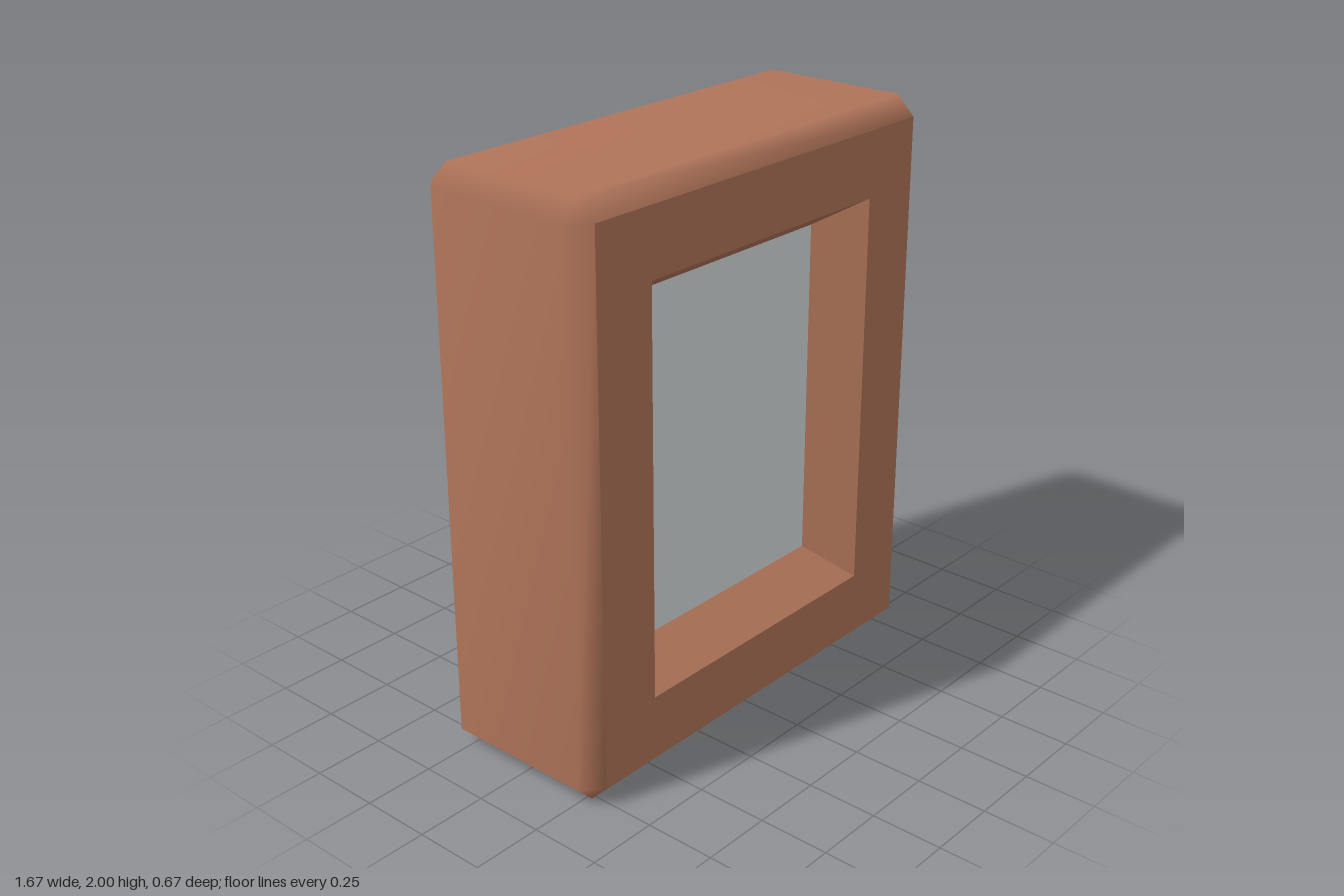
import * as THREE from 'three';
import { mergeVertices } from 'three/addons/utils/BufferGeometryUtils.js';

const X = 0.833, Y = 1, Z = 0.333, C = 0.066; // half sizes and bevel width
const HOLE = [0.535, 0.705], PANE = [0.44, 0.603], PANE_Z = 0.167;

// Corners of a centred rectangle, anticlockwise seen from the front
const rect = (w, h, z) => [[w, h, z], [-w, h, z], [-w, -h, z], [w, -h, z]];

// Skin joining a list of equal closed rings
function skin(rings) {
  const pos = [];
  for (let r = 0; r < rings.length - 1; r++) {
    const a = rings[r], b = rings[r + 1], n = a.length;
    for (let i = 0; i < n; i++) {
      const j = (i + 1) % n;
      pos.push(...a[i], ...b[i], ...b[j], ...a[i], ...b[j], ...a[j]);
    }
  }
  const geo = new THREE.BufferGeometry();
  geo.setAttribute('position', new THREE.Float32BufferAttribute(pos, 3));
  return geo;
}

export function createModel() {
  const clay = new THREE.MeshStandardMaterial({ color: 0xb07459 });
  clay.name = 'terracotta';
  const glass = new THREE.MeshStandardMaterial({ color: 0xd6dcdc });
  glass.name = 'pale grey';

  const group = new THREE.Group();
  group.name = 'framedBox';
  const add = (name, geo, mat, z = 0) => {
    const mesh = new THREE.Mesh(geo, mat);
    mesh.name = name;
    mesh.position.set(0, Y, z);
    group.add(mesh);
    return mesh;
  };

  // Bevelled sides: rectangle, octagon, octagon, rectangle, softly shaded
  const x = X - C, y = Y - C;
  const octagon = z => [[X, y, z], [x, Y, z], [-x, Y, z], [-X, y, z],
    [-X, -y, z], [-x, -Y, z], [x, -Y, z], [X, -y, z]];
  const end = z => rect(x, y, z).flatMap(p => [p, p]);
  const sides = mergeVertices(skin([end(-Z), octagon(C - Z), octagon(Z - C), end(Z)].reverse()));
  sides.computeVertexNormals();
  add('bevelledSides', sides, clay);

  // Flat front face with the window opening
  const toPath = pts => pts.map(p => new THREE.Vector2(p[0], p[1]));
  const face = new THREE.Shape(toPath(rect(x, y, 0)));
  face.holes.push(new THREE.Path(toPath(rect(...HOLE, 0)).reverse()));
  add('frontFrame', new THREE.ShapeGeometry(face), clay, Z);

  // Sloping walls of the recess, facing inwards
  const recess = skin([rect(...PANE, PANE_Z), rect(...HOLE, Z)]);
  recess.computeVertexNormals();
  add('recessWalls', recess, clay);

  // Pane at the bottom of the recess
  add('pane', new THREE.PlaneGeometry(2 * PANE[0], 2 * PANE[1]), glass, PANE_Z);

  // Plain back
  add('back', new THREE.PlaneGeometry(2 * x, 2 * y), clay, -Z).rotation.y = Math.PI;

  return group;
}
